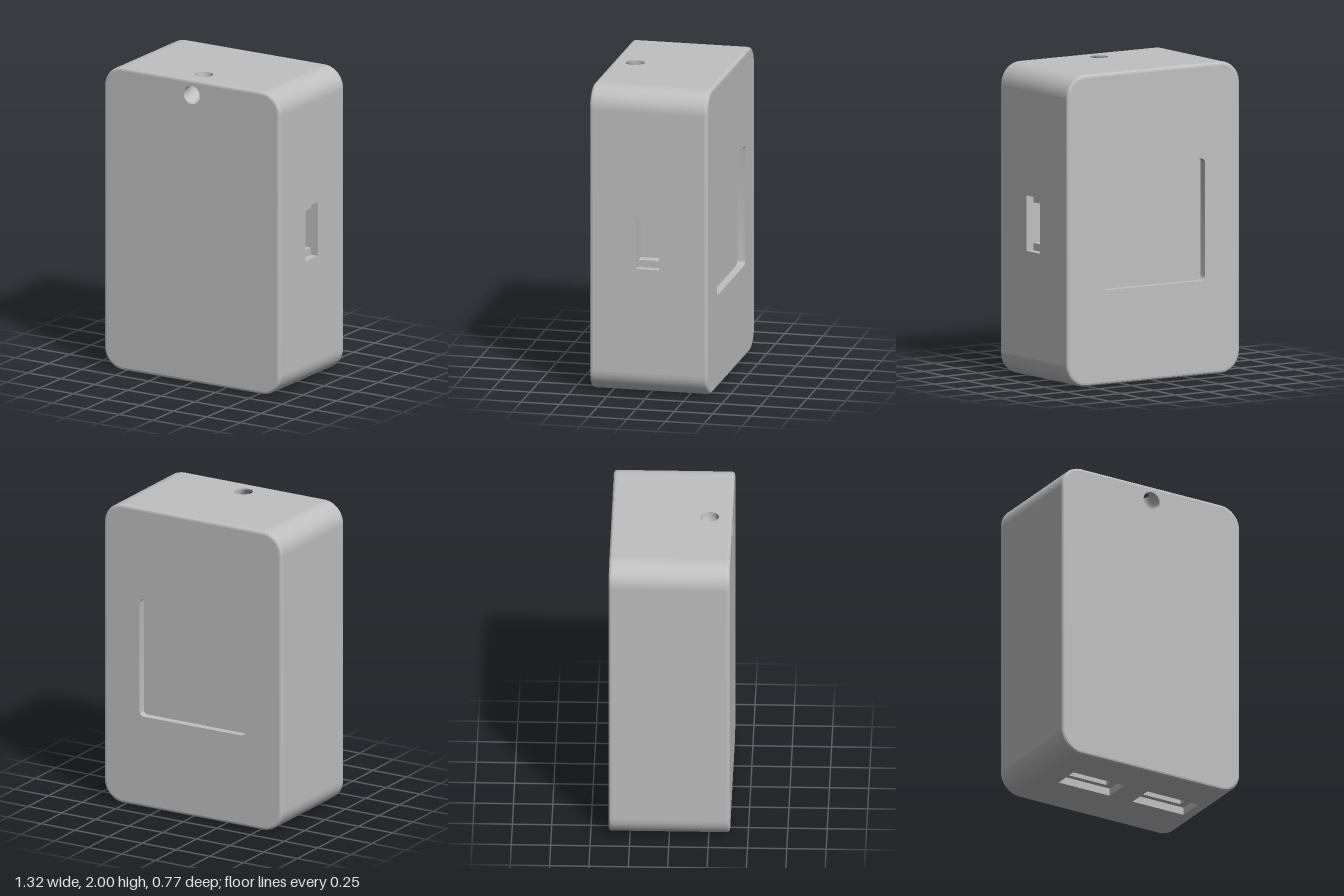
import * as THREE from 'three';
import { toCreasedNormals } from 'three/addons/utils/BufferGeometryUtils.js';

const W = 1.32, H = 2, D = 0.77, R = 0.14, B = 0.02, SEG = 12;
const HOLE = 0.06;
const grey = new THREE.MeshStandardMaterial({ color: 0xc0c0c0 });
grey.name = 'lightGrey';

// Counter-clockwise rounded rectangle at height z
function ring(w, h, r = 0, z = 0, cx = 0, cy = 0) {
  const pts = [], n = r > 0 ? SEG : 0;
  [[1, -1], [1, 1], [-1, 1], [-1, -1]].forEach(([sx, sy], k) => {
    for (let i = 0; i <= n; i++) {
      const a = (k - 1 + (n ? i / n : 0)) * Math.PI / 2;
      pts.push(new THREE.Vector3(
        cx + sx * (w / 2 - r) + r * Math.cos(a),
        cy + sy * (h / 2 - r) + r * Math.sin(a), z));
    }
  });
  return pts;
}

function circle(r, cx, cy) {
  return Array.from({ length: 32 }, (_, i) => {
    const a = i / 32 * Math.PI * 2;
    return new THREE.Vector3(cx + r * Math.cos(a), cy + r * Math.sin(a), 0);
  });
}

// Skin joining successive cross-sections
function loft(rings, closed = true) {
  const pos = [], n = rings[0].length;
  for (let i = 0; i < rings.length - 1; i++) {
    for (let j = 0; j < (closed ? n : n - 1); j++) {
      const k = (j + 1) % n;
      const a = rings[i][j], b = rings[i][k], c = rings[i + 1][k], d = rings[i + 1][j];
      for (const p of [a, b, c, a, c, d]) pos.push(p.x, p.y, p.z);
    }
  }
  const g = new THREE.BufferGeometry();
  g.setAttribute('position', new THREE.Float32BufferAttribute(pos, 3));
  return toCreasedNormals(g, 0.45);
}

function flat(outline, holes = []) {
  const to2 = (pts) => pts.map((p) => new THREE.Vector2(p.x, p.y));
  const s = new THREE.Shape(to2(outline));
  s.holes = holes.map((h) => new THREE.Path(to2(h)));
  return new THREE.ShapeGeometry(s);
}

function add(parent, name, geometry) {
  const m = new THREE.Mesh(geometry, grey);
  m.name = name;
  parent.add(m);
  return m;
}

// One outer face with openings; each recess is a list of cross-sections going inward
function face(root, name, outline, place, recesses = [], holes = []) {
  const g = new THREE.Group();
  g.name = name;
  g.position.set(...place.pos);
  g.rotation.set(...(place.rot || [0, 0, 0]));
  add(g, name + 'Panel', flat(outline, [...holes, ...recesses.map((r) => r.rings[0])]));
  for (const { label, rings } of recesses) {
    add(g, label + 'Walls', loft(rings));
    const floor = rings[rings.length - 1];
    add(g, label + 'Floor', flat(floor)).position.z = floor[0].z;
  }
  root.add(g);
}

// Stepped port: wide mouth, ledge, narrower pocket
function port(label, [w, h, cx, cy], [w2, h2, cx2, cy2]) {
  return {
    label,
    rings: [
      ring(w, h, 0, 0, cx, cy), ring(w, h, 0, -0.05, cx, cy),
      ring(w2, h2, 0, -0.05, cx2, cy2), ring(w2, h2, 0, -0.12, cx2, cy2),
    ],
  };
}

export function createModel() {
  const root = new THREE.Group();
  root.name = 'enclosure';
  const q = Math.PI / 2, mid = H / 2;
  const inner = ring(W - 2 * B, H - 2 * B, R - B);
  const side = ring(D - 2 * B, H - 2 * R);
  const end = ring(W - 2 * R, D - 2 * B);

  // Front and back faces
  face(root, 'front', inner, { pos: [0, mid, D / 2] }, [], [circle(HOLE, 0, 0.9)]);
  face(root, 'back', inner, { pos: [0, mid, -D / 2], rot: [0, Math.PI, 0] }, [{
    label: 'labelRecess',
    rings: [ring(0.785, 0.785, 0.03), ring(0.785, 0.785, 0.03, -0.05)],
  }]);

  // Sides, top and bottom
  face(root, 'leftSide', side, { pos: [W / 2, mid, 0], rot: [0, q, 0] }, [
    port('sidePort', [0.15, 0.355, -0.005, 0.005], [0.144, 0.26, -0.004, 0.005]),
  ]);
  face(root, 'rightSide', side, { pos: [-W / 2, mid, 0], rot: [0, -q, 0] });
  face(root, 'top', end, { pos: [0, H, 0], rot: [-q, 0, 0] }, [], [circle(HOLE, 0, -0.24)]);
  face(root, 'bottom', end, { pos: [0, 0, 0], rot: [q, 0, 0] },
    [-0.23, 0.32].map((x) => port('bottomPort', [0.38, 0.18, x, 0.03], [0.29, 0.11, x, 0.03])));

  // Rounded vertical corners
  const zr = D / 2 - B;
  const backRing = ring(W, H, R, -zr), frontRing = ring(W, H, R, zr);
  for (let k = 0; k < 4; k++) {
    const cut = (r) => r.slice(k * (SEG + 1), (k + 1) * (SEG + 1));
    add(root, 'roundedCorner', loft([cut(backRing), cut(frontRing)], false)).position.y = mid;
  }

  // Eased rims around front and back
  for (const s of [1, -1]) {
    const rings = [0, 1, 2, 3].map((i) => {
      const a = i / 3 * q, inset = B * (1 - Math.cos(a));
      return ring(W - 2 * inset, H - 2 * inset, R - inset, s * (zr + B * Math.sin(a)));
    });
    if (s < 0) rings.reverse();
    add(root, s > 0 ? 'frontRim' : 'backRim', loft(rings)).position.y = mid;
  }

  // Curved cord channel from the front hole up to the top hole
  const path = new THREE.CubicBezierCurve3(
    new THREE.Vector3(0, 1.9, D / 2), new THREE.Vector3(0, 1.9, 0.305),
    new THREE.Vector3(0, 1.945, 0.24), new THREE.Vector3(0, H, 0.24));
  const xAxis = new THREE.Vector3(1, 0, 0);
  const channel = Array.from({ length: 13 }, (_, i) => {
    const c = path.getPoint(i / 12);
    const n = new THREE.Vector3().crossVectors(xAxis, path.getTangent(i / 12));
    return circle(HOLE, 0, 0).map((p) =>
      c.clone().addScaledVector(xAxis, p.x).addScaledVector(n, p.y));
  });
  add(root, 'cordChannel', loft(channel));

  return root;
}
